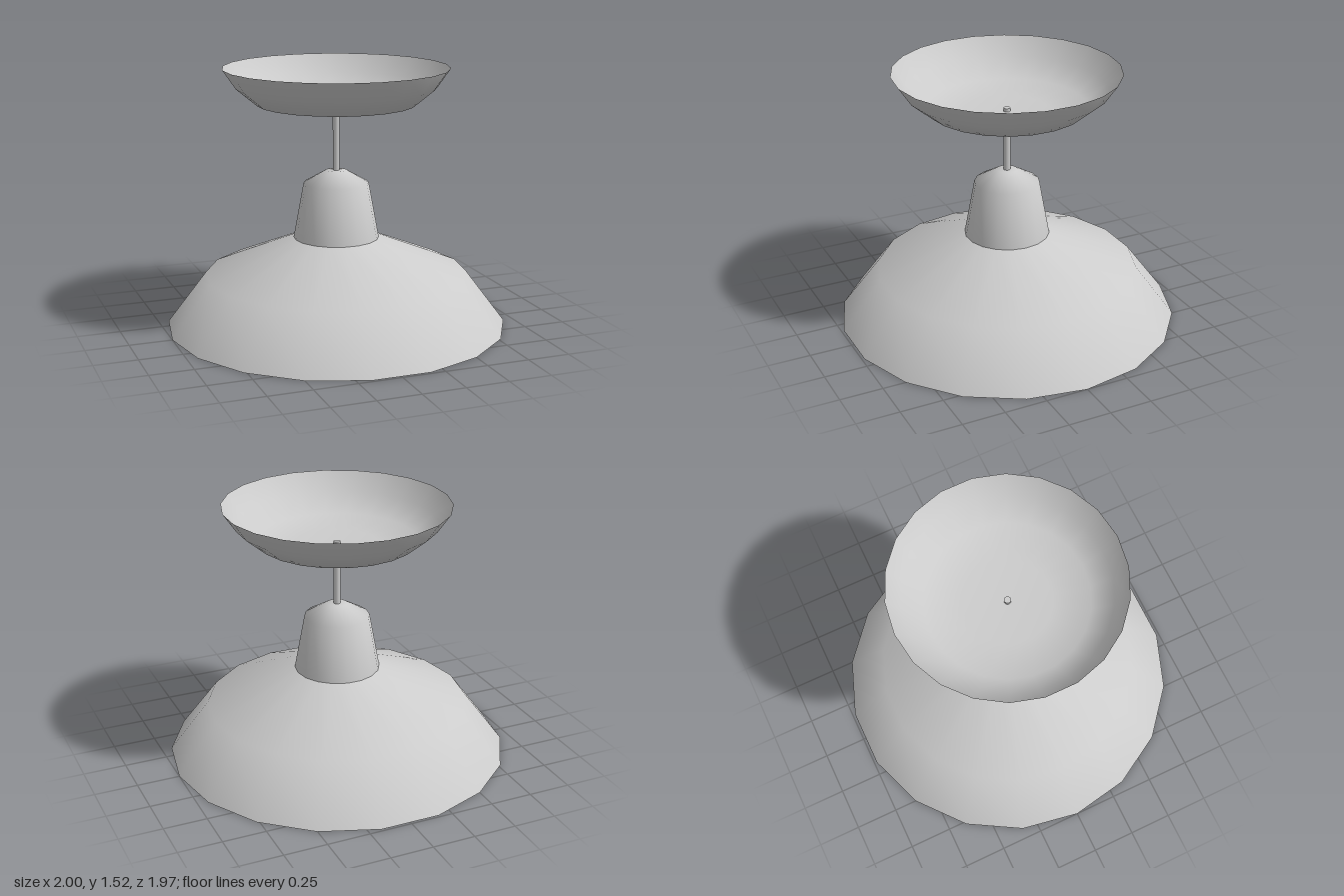
import * as THREE from 'three';

const material = new THREE.MeshStandardMaterial({ color: 0xcccccc });
const thinMaterial = new THREE.MeshStandardMaterial({ color: 0xcccccc, side: THREE.DoubleSide });

// Revolved part from [radius, height] pairs; rising profiles face outwards
function lathe(name, profile, segments, start = 0, mat = material) {
  const points = profile.map(([r, y]) => new THREE.Vector2(r, y));
  const mesh = new THREE.Mesh(new THREE.LatheGeometry(points, segments, start), mat);
  mesh.name = name;
  return mesh;
}

function cylinder(name, radius, bottom, top, sides) {
  const mesh = new THREE.Mesh(new THREE.CylinderGeometry(radius, radius, top - bottom, sides), material);
  mesh.position.y = (bottom + top) / 2;
  mesh.name = name;
  return mesh;
}

export function createModel() {
  const model = new THREE.Group();
  model.name = 'pendantLamp';

  // Shade: separate skins keep the rim and the collar line crisp
  const shade = new THREE.Group();
  shade.name = 'shade';
  const sides = 18, start = Math.PI / 2;
  shade.add(
    lathe('shadeOuter', [[1, 0], [0.77, 0.305], [0.25, 0.52]], sides, start),
    lathe('shadeRim', [[0.97, 0], [1, 0]], sides, start, thinMaterial),
    lathe('shadeInner', [[0.22, 0.495], [0.75, 0.285], [0.97, 0]], sides, start),
    lathe('collarOuter', [[0.25, 0.52], [0.19, 0.845], [0.06, 0.92], [0, 0.92]], sides, start),
    lathe('collarInner', [[0, 0.89], [0.05, 0.89], [0.165, 0.825], [0.22, 0.495]], sides, start)
  );
  model.add(shade);

  // Bulb and its socket inside the shade
  const bulb = new THREE.Mesh(new THREE.SphereGeometry(0.2, 24, 16), material);
  bulb.position.y = 0.265;
  bulb.name = 'bulb';
  model.add(bulb);
  model.add(cylinder('bulbNeck', 0.085, 0.4, 0.52, 16));
  model.add(cylinder('socket', 0.11, 0.48, 0.87, 16));

  // Rod, with its tip just poking into the ceiling dish
  model.add(cylinder('rod', 0.02, 0.9, 1.3, 10));

  // Thin open ceiling dish
  model.add(lathe('ceilingDish',
    [[0, 1.28], [0.25, 1.28], [0.46, 1.31], [0.58, 1.41], [0.655, 1.52]], 22, 0, thinMaterial));

  return model;
}
